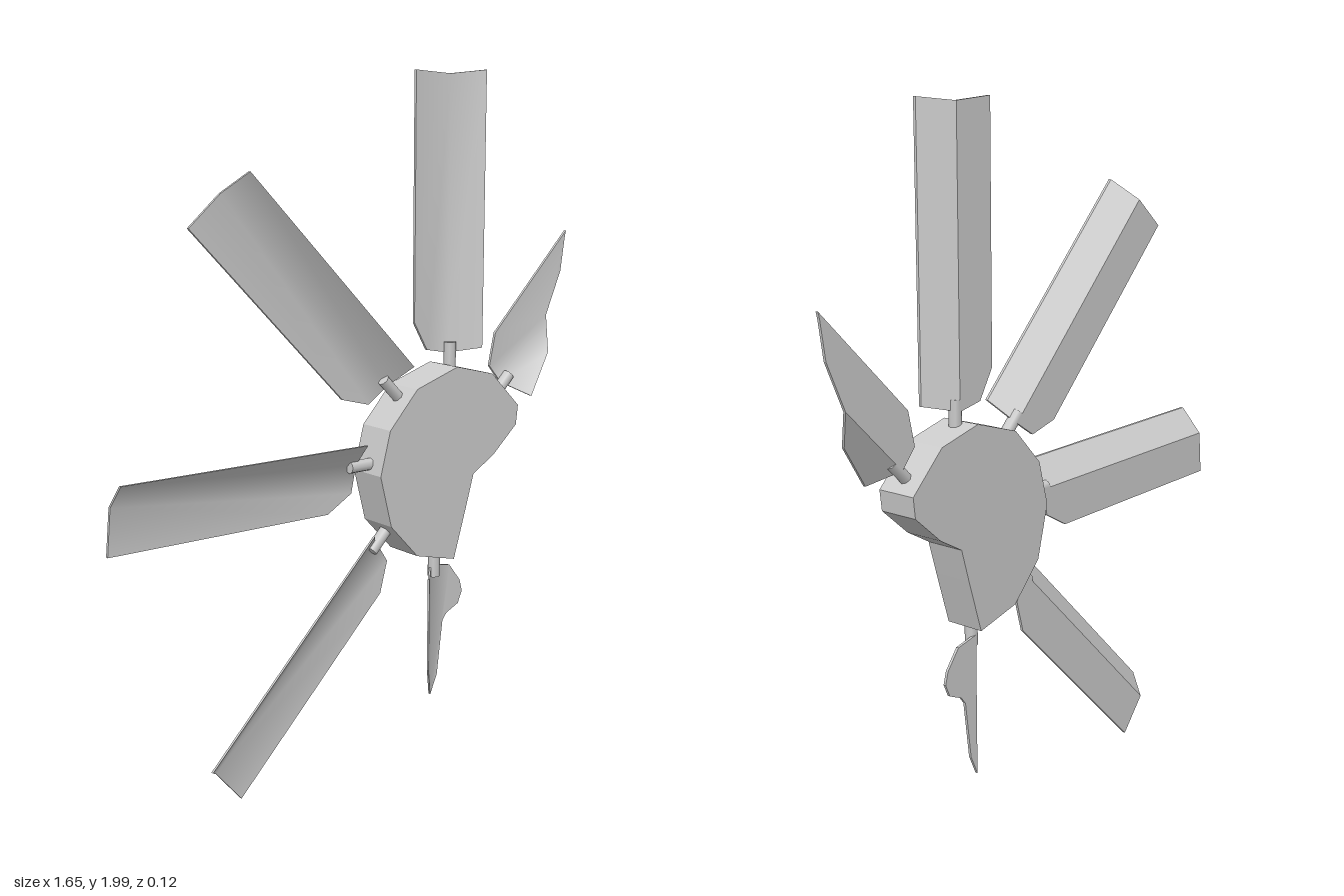
import * as THREE from 'three';
import { mergeGeometries, mergeVertices } from 'three/addons/utils/BufferGeometryUtils.js';

const CENTRE = [0.306, 0.871];
const FOLD = 0.027;      // sideways position of the fold line on every blade
const RIDGE = -0.018;    // z of the back of the fold
const THICK = 0.008;

const material = new THREE.MeshStandardMaterial({ color: 0xcccccc, side: THREE.DoubleSide });
const toPoints = (list) => list.map(([x, y]) => new THREE.Vector2(x, y));

// Flat on the wide flank, bent forward at 45 degrees on the narrow one
const bend = (x) => RIDGE + Math.max(0, x - FOLD);

function flank(outline, offset) {
  const g = new THREE.ShapeGeometry(new THREE.Shape(toPoints(outline)));
  g.deleteAttribute('uv');
  g.deleteAttribute('normal');
  const p = g.attributes.position;
  for (let i = 0; i < p.count; i++) p.setZ(i, bend(p.getX(i)) + offset);
  return g;
}

// wide runs from fold tip to fold base, narrow from fold base to fold tip
function bladeGeometry(wide, narrow) {
  // Front: smooth across the fold
  const front = mergeVertices(mergeGeometries([flank(wide, THICK), flank(narrow, THICK)]));
  front.computeVertexNormals();
  // Back: crisp fold, reversed faces
  const backs = [flank(wide, 0), flank(narrow, 0)].map((g) => {
    g.index.array.reverse();
    g.computeVertexNormals();
    return g.toNonIndexed();
  });
  // Thin rim around the outline
  const outline = [...wide, ...narrow.slice(1, -1)];
  const rim = [];
  outline.forEach(([x, y], i) => {
    const [u, v] = outline[(i + 1) % outline.length];
    const a = [x, y, bend(x)], b = [u, v, bend(u)];
    const c = [u, v, bend(u) + THICK], d = [x, y, bend(x) + THICK];
    rim.push(...a, ...b, ...c, ...a, ...c, ...d);
  });
  const edge = new THREE.BufferGeometry();
  edge.setAttribute('position', new THREE.Float32BufferAttribute(rim, 3));
  edge.computeVertexNormals();
  return mergeGeometries([front.toNonIndexed(), ...backs, edge]);
}

export function createModel() {
  const model = new THREE.Group();
  model.name = 'brokenFan';

  // Hub: disc with a piece broken out of its lower right
  const hubOutline = [
    [0.31, 1.16], [0.156, 1.113], [0.055, 1.006], [0.02, 0.877], [0.06, 0.723],
    [0.16, 0.617], [0.305, 0.58], [0.352, 0.734], [0.38, 0.83], [0.46, 0.875],
    [0.553, 0.956], [0.56, 1.015], [0.45, 1.124],
  ];
  const hubGeometry = new THREE.ExtrudeGeometry(new THREE.Shape(toPoints(hubOutline)), { depth: 0.12, bevelEnabled: false });
  hubGeometry.translate(0, 0, -0.06);
  const hub = new THREE.Mesh(hubGeometry, material);
  hub.name = 'hub';
  model.add(hub);

  // Blade outlines as [sideways, distance from hub centre]
  const base = [FOLD, 0.32], corner = [0.099, 0.336];
  const whole = bladeGeometry(
    [[FOLD, 1.119], [-0.102, 1.129], [-0.102, 0.42], [-0.053, 0.336], base],
    [base, corner, [0.099, 1.129], [FOLD, 1.119]],
  );
  const slanted = bladeGeometry(
    [[FOLD, 0.588], [-0.026, 0.722], [-0.09, 0.807], [-0.1, 0.823], [-0.1, 0.41], [-0.045, 0.325], base],
    [base, corner, [0.076, 0.487], [FOLD, 0.588]],
  );
  const stub = bladeGeometry(
    [[FOLD, 0.736], [0.001, 0.678], [-0.02, 0.508], [-0.036, 0.487], [-0.083, 0.466],
      [-0.099, 0.429], [-0.089, 0.392], [-0.046, 0.336], base],
    [base, corner, [0.099, 0.619], [FOLD, 0.736]],
  );

  // Six arms, counter-clockwise from the upper right
  const arms = [
    ['brokenBladeUpper', slanted, 44.5], ['bladeTop', whole, 90], ['bladeUpper', whole, 134.5],
    ['bladeSide', whole, 179], ['bladeLower', whole, 224.5], ['brokenBladeBottom', stub, 270],
  ];
  const stemGeometry = new THREE.CylinderGeometry(0.018, 0.018, 0.11, 8);
  for (const [name, geometry, angle] of arms) {
    const arm = new THREE.Group();
    arm.name = name + 'Arm';
    const blade = new THREE.Mesh(geometry, material);
    blade.name = name;
    const stem = new THREE.Mesh(stemGeometry, material);
    stem.name = 'stem';
    stem.position.set(FOLD, 0.298, 0);
    arm.add(blade, stem);
    arm.position.set(CENTRE[0], CENTRE[1], 0);
    arm.rotation.z = THREE.MathUtils.degToRad(angle - 90);
    model.add(arm);
  }
  return model;
}
